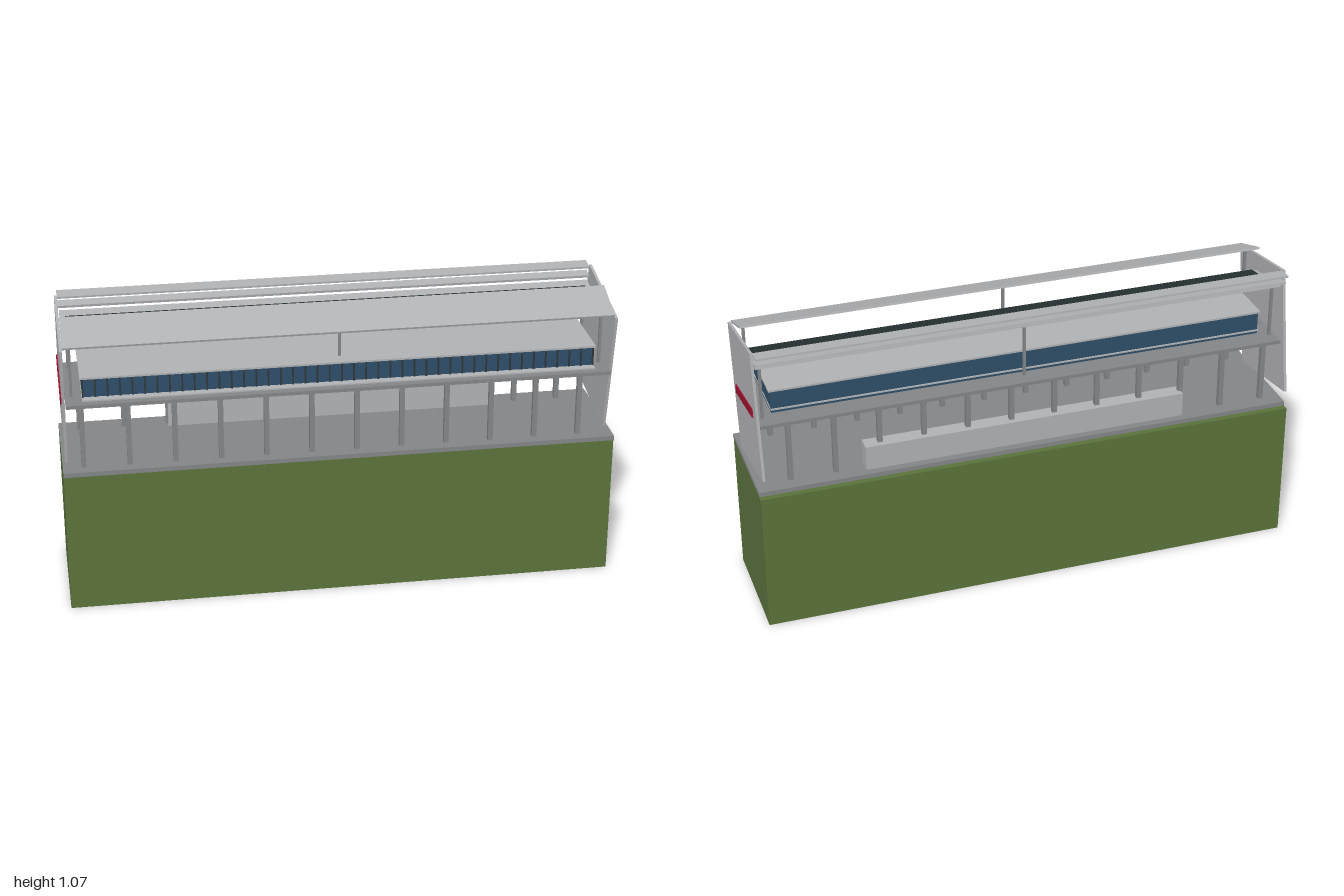
import * as THREE from 'three';

const mat = (name, color) => {
  const m = new THREE.MeshStandardMaterial({ color });
  m.name = name;
  return m;
};

export function createModel() {
  const group = new THREE.Group();
  const green = mat('grass green', 0x5a723b);
  const light = mat('light grey', 0xb0b1b3);
  const grey = mat('concrete grey', 0x838587);
  const dark = mat('dark roof', 0x263030);
  const blue = mat('window blue', 0x2e4f69);
  const frame = mat('window frame', 0x30363a);
  const red = mat('stripe red', 0x9c1030);

  // Box given by its limits on each axis
  const box = (name, m, x0, x1, y0, y1, z0, z1) => {
    const mesh = new THREE.Mesh(new THREE.BoxGeometry(x1 - x0, y1 - y0, z1 - z0), m);
    mesh.position.set((x0 + x1) / 2, (y0 + y1) / 2, (z0 + z1) / 2);
    mesh.name = name;
    group.add(mesh);
    return mesh;
  };

  // Long tilted board running from a front point [z, y] to a back point [z, y]
  const board = (name, m, halfX, front, back, thick) => {
    const dz = front[0] - back[0], dy = back[1] - front[1];
    const mesh = new THREE.Mesh(new THREE.BoxGeometry(halfX * 2, thick, Math.hypot(dz, dy)), m);
    mesh.position.set(0, (front[1] + back[1]) / 2, (front[0] + back[0]) / 2);
    mesh.rotation.x = Math.atan2(dy, dz);
    mesh.name = name;
    group.add(mesh);
  };

  // Embankment and ground slab
  box('embankment', green, -1, 1, 0, 0.531, -0.22, 0.222);
  box('groundSlab', grey, -1, 1, 0.531, 0.548, -0.197, 0.23);

  // Low block behind the columns
  box('lowBlock', light, -0.6, 0.605, 0.548, 0.64, -0.168, -0.11);

  // Two rows of columns carrying the deck
  for (let i = 0; i < 12; i++) {
    const x = -0.925 + i * 0.1634;
    for (const z of [0.181, -0.138]) {
      box('column', grey, x - 0.009, x + 0.009, 0.548, 0.788, z - 0.009, z + 0.009);
    }
  }
  box('deck', grey, -0.978, 0.978, 0.787, 0.8, -0.175, 0.214);
  box('cabinFloor', light, -0.92, 0.92, 0.811, 0.816, -0.1, 0.21);

  // Glazed cabin with mullions along the front
  box('cabinGlass', blue, -0.918, 0.918, 0.8, 0.884, -0.095, 0.18);
  box('cabinRoof', light, -0.925, 0.925, 0.884, 0.891, -0.1, 0.185);
  for (let i = 0; i <= 42; i++) {
    const x = -0.916 + (i * 1.832) / 42;
    box('mullion', frame, x - 0.003, x + 0.003, 0.816, 0.884, 0.18, 0.185);
  }

  // Sloping roof with a dark covering
  board('roofSheet', light, 0.975, [0.06, 0.975], [-0.15, 1.012], 0.006);
  board('roofCover', dark, 0.955, [0.058, 0.981], [-0.1, 1.009], 0.006);
  // Raised front canopy and rear rails
  board('frontCanopy', light, 0.98, [0.212, 1.015], [0.057, 1.069], 0.008);
  board('upperRearRail', light, 0.98, [-0.14, 1.066], [-0.197, 1.071], 0.007);
  board('lowerRearRail', light, 0.98, [-0.14, 1.031], [-0.18, 1.038], 0.009);

  // Slim hangers
  for (const x of [-0.955, 0, 0.955]) {
    box('rearHanger', grey, x - 0.005, x + 0.005, 0.77, 1.005, -0.125, -0.115);
    box('frontHanger', grey, x - 0.005, x + 0.005, 0.8, 1.04, 0.12, 0.13);
  }

  // Leaning end panels, each with a stripe
  const tilt = Math.atan2(0.065, 0.372);
  for (const side of [-1, 1]) {
    const panel = box('endPanel', light, -0.005, 0.005, 0, 0.47, 0, 0.376);
    panel.position.set(side * 0.985, 0.81, -0.003);
    panel.rotation.x = tilt;
    const stripe = box('endStripe', red, -0.0025, 0.0025, 0, 0.031, 0, 0.276);
    stripe.position.set(side * 0.9925, 0.811, -0.001);
    stripe.rotation.x = tilt;
  }
  return group;
}
